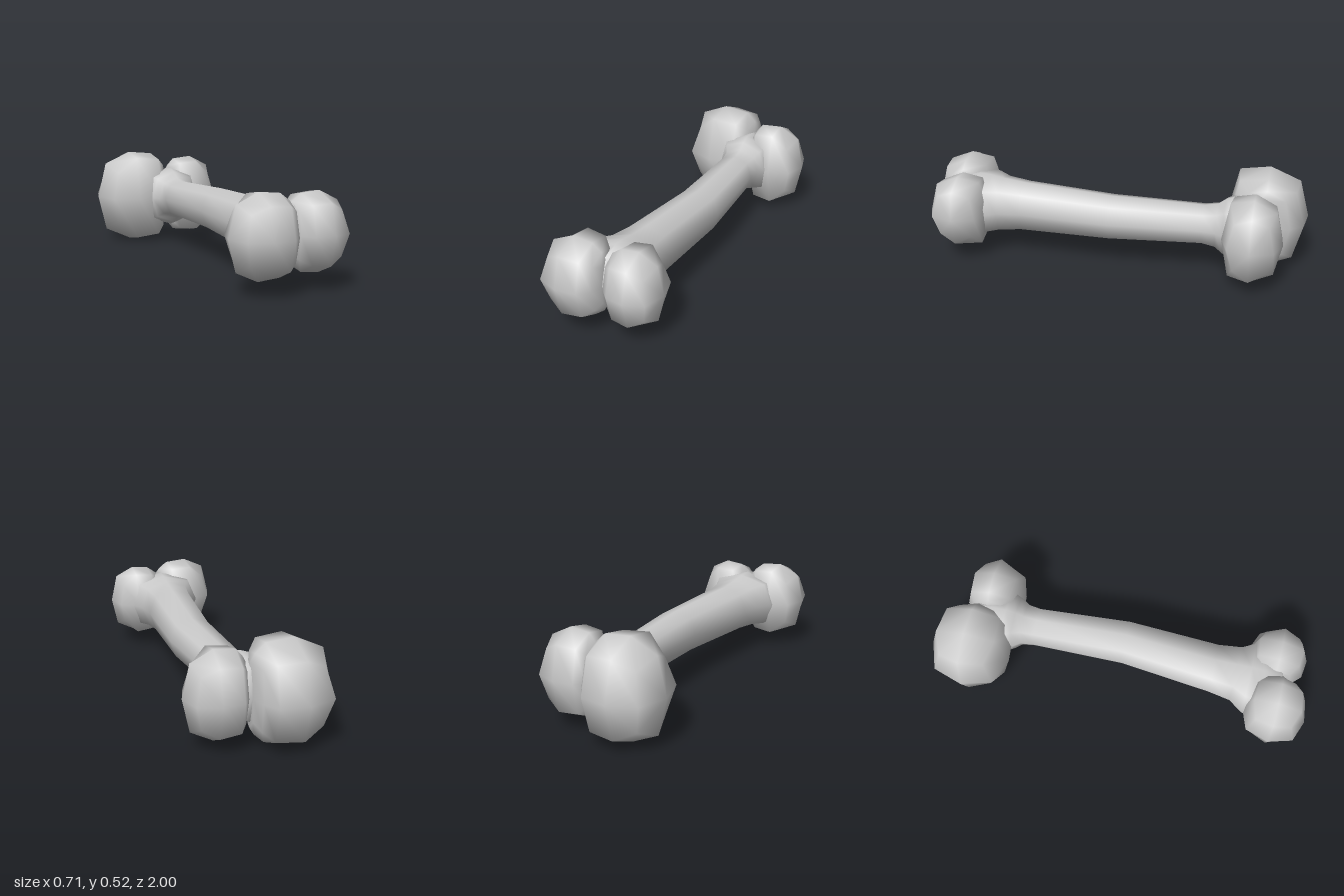
import * as THREE from 'three';

const material = new THREE.MeshStandardMaterial({ color: 0xcccccc });

// Eight directions of a rounded-square ring: sides at 1, corners at 0.75
const RING = [[1, 0], [0.75, 0.75], [0, 1], [-0.75, 0.75], [-1, 0], [-0.75, -0.75], [0, -1], [0.75, -0.75]];

// Skins rings of eight points, ordered along their axis, and closes both ends
function skin(name, rings, startPole, endPole) {
  const points = rings.flat().concat([startPole, endPole]);
  const n = 8, start = rings.length * n, end = start + 1, last = start - n;
  const index = [];
  for (let j = 0; j < n; j++) {
    const k = (j + 1) % n;
    for (let i = 0; i < rings.length - 1; i++) {
      const a = i * n + j, b = i * n + k;
      index.push(a, b, b + n, a, b + n, a + n);
    }
    index.push(start, k, j, end, last + j, last + k);
  }
  const geometry = new THREE.BufferGeometry();
  geometry.setAttribute('position', new THREE.Float32BufferAttribute(points.flat(), 3));
  geometry.setIndex(index);
  geometry.computeVertexNormals();
  const mesh = new THREE.Mesh(geometry, material);
  mesh.name = name;
  return mesh;
}

// Rounded knob: closed outer end, inner end that tapers into the groove.
// side is the direction of the outer end along x
function knob(name, side, [cx, cy, cz], [hx, hy, hz], innerX) {
  const inner = Math.abs(innerX - cx) / hx;
  // [x towards the inner end, y scale, z scale, x of the corners]
  const sections = [
    [-0.75, 0.75, 0.75, -0.56],
    [0, 1, 1, 0],
    [0.74, 0.95, 0.92, 0.72],
    [inner - 0.12, 0.77, 0.6, inner - 0.15],
    [inner, 0.62, 0.25, inner - 0.02],
  ];
  const rings = sections.map(([t, sy, sz, corner]) => RING.map(([a, b], j) => {
    // corners facing the shaft are fuller on the inner half
    const fuller = t >= 0 && b * cz < 0 ? 1.2 : 1;
    return [cx - side * hx * (j % 2 ? corner : t), cy + a * hy * sy * fuller, cz + b * hz * sz];
  }));
  const outerPole = [cx + side * hx, cy, cz], innerPole = [innerX, cy, cz];
  return side < 0
    ? skin(name, rings, outerPole, innerPole)
    : skin(name, rings.reverse(), innerPole, outerPole);
}

// Slightly bowed shaft that flares into both ends and fills the grooves
function shaft() {
  // [z, left x, right x, bottom y, top y]
  const sections = [
    [-0.8, -0.01, 0.1, 0.13, 0.4],
    [-0.72, -0.08, 0.17, 0.105, 0.42],
    [-0.64, -0.125, 0.215, 0.095, 0.427],
    [-0.59, -0.09, 0.185, 0.115, 0.41],
    [-0.55, -0.06, 0.16, 0.145, 0.38],
    [-0.48, -0.05, 0.153, 0.16, 0.367],
    [0, -0.036, 0.197, 0.148, 0.381],
    [0.48, -0.08, 0.183, 0.134, 0.396],
    [0.6, -0.1, 0.2, 0.121, 0.41],
    [0.67, -0.15, 0.245, 0.112, 0.422],
    [0.74, -0.16, 0.25, 0.11, 0.425],
    [0.83, -0.01, 0.11, 0.125, 0.405],
  ];
  const rings = sections.map(([z, x0, x1, y0, y1]) => RING.map(([a, b]) => [
    (x0 + x1) / 2 + a * (x1 - x0) / 2, (y0 + y1) / 2 + b * (y1 - y0) / 2, z,
  ]));
  return skin('shaft', rings, [0.045, 0.265, -0.83], [0.05, 0.268, 0.87]);
}

export function createModel() {
  const bone = new THREE.Group();
  bone.name = 'bone';
  bone.add(
    shaft(),
    knob('frontRightKnob', -1, [-0.125, 0.269, 0.835], [0.147, 0.204, 0.163], 0.05),
    knob('frontLeftKnob', 1, [0.208, 0.267, 0.797], [0.127, 0.193, 0.155], 0.05),
    knob('backRightKnob', -1, [-0.165, 0.261, -0.79], [0.19, 0.259, 0.21], 0.048),
    knob('backLeftKnob', 1, [0.208, 0.261, -0.742], [0.147, 0.225, 0.153], 0.048),
  );
  return bone;
}
